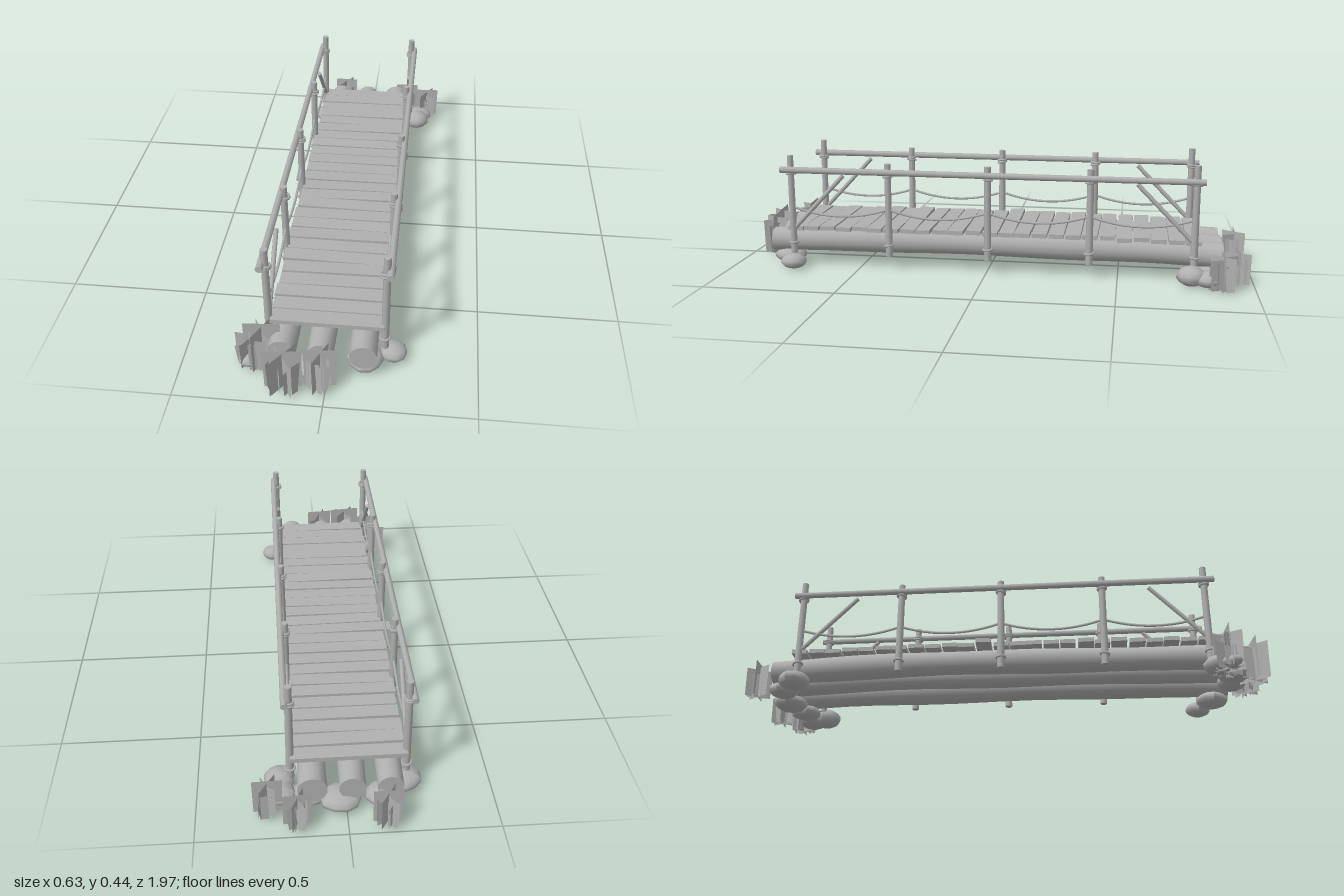
import * as THREE from 'three';

export function createModel() {
  const root = new THREE.Group();
  const grey = new THREE.MeshStandardMaterial({ color: 0xb0b0b0, side: THREE.DoubleSide });
  grey.name = 'plainGrey';

  let seed = 7;
  const rnd = (a, b) => {
    seed = (seed * 16807) % 2147483647;
    return a + (b - a) * (seed / 2147483647);
  };
  const group = (name) => {
    const g = new THREE.Group();
    g.name = name;
    root.add(g);
    return g;
  };
  const add = (parent, name, geo, x = 0, y = 0, z = 0) => {
    const m = new THREE.Mesh(geo, grey);
    m.name = name;
    m.position.set(x, y, z);
    parent.add(m);
    return m;
  };
  // Round pole between two points
  const pole = (parent, name, a, b, r0, r1 = r0, sides = 8) => {
    const d = b.clone().sub(a);
    const m = add(parent, name, new THREE.CylinderGeometry(r1, r0, d.length(), sides));
    m.position.copy(a).addScaledVector(d, 0.5);
    m.quaternion.setFromUnitVectors(new THREE.Vector3(0, 1, 0), d.normalize());
    return m;
  };
  const V = (x, y, z) => new THREE.Vector3(x, y, z);
  const arch = (z) => 1 - (z / 0.85) ** 2;

  // Three long carrying logs, gently arched and uneven
  const logs = group('logs');
  [[-0.15, 0.046], [-0.02, 0.044], [0.117, 0.049]].forEach(([x, r], i) => {
    const geo = new THREE.CylinderGeometry(r, r, 1.75, 14, 16);
    geo.rotateX(Math.PI / 2);
    const p = geo.attributes.position;
    for (let k = 0; k < p.count; k++) {
      const z = p.getZ(k);
      const s = 1 + 0.05 * Math.sin(z * 9 + i * 2);
      p.setXYZ(k, p.getX(k) * s + 0.005 * Math.sin(z * 5 + i), p.getY(k) * s + 0.013 * arch(z), z);
    }
    geo.computeVertexNormals();
    add(logs, 'log', geo, x, 0.095, -0.013);
  });

  // Deck planks, each slightly turned and of its own length
  const deck = group('deck');
  const count = 25;
  for (let i = 0; i < count; i++) {
    const z = -0.778 + (i * 1.534) / (count - 1);
    const left = i === 11 ? -0.24 : -0.207 + rnd(-0.004, 0.004);
    const right = 0.178 + rnd(-0.004, 0.006);
    const geo = new THREE.BoxGeometry(right - left, 0.016, rnd(0.055, 0.06));
    const m = add(deck, 'plank', geo, (left + right) / 2, 0.152 + 0.007 * arch(z) + rnd(-0.002, 0.002), z);
    m.rotation.set(rnd(-0.03, 0.03), rnd(-0.016, 0.016), rnd(-0.008, 0.008));
  }

  // Railings on both sides
  const postZ = [-0.779, -0.393, -0.008, 0.378, 0.762];
  const sides = [
    { name: 'leftRailing', x: 0.183, out: 1 },
    { name: 'rightRailing', x: -0.21, out: -1 },
  ];
  for (const { name, x, out } of sides) {
    const g = group(name);
    postZ.forEach((z, i) => {
      const end = i === 0 || i === 4;
      pole(g, 'post', V(x, 0.058, z), V(x + rnd(-0.003, 0.003), end ? 0.445 : 0.42, z), 0.0138, 0.0125);
      // Rope lashings at the rail and at the logs
      for (const y of [0.372, 0.38, 0.1]) {
        const ring = add(g, 'lashing', new THREE.TorusGeometry(0.0165, 0.0045, 6, 12), x, y, z);
        ring.rotation.set(Math.PI / 2 + rnd(-0.2, 0.2), rnd(-0.15, 0.15), 0);
      }
    });
    // Hand rail
    const rx = x + out * 0.014;
    pole(g, 'handRail', V(rx, 0.386, -0.81), V(rx, 0.39, 0.8), 0.0115, 0.0125);
    // Sagging ropes
    for (let i = 0; i < 4; i++) {
      const a = postZ[i], b = postZ[i + 1];
      const curve = new THREE.QuadraticBezierCurve3(
        V(x, 0.243, a), V(x, 0.176, (a + b) / 2), V(x, 0.243, b));
      add(g, 'rope', new THREE.TubeGeometry(curve, 12, 0.0048, 6));
    }
    // Diagonal braces at both ends
    pole(g, 'brace', V(x, 0.162, 0.752), V(x, 0.37, 0.555), 0.0085);
    pole(g, 'brace', V(x, 0.162, -0.769), V(x, 0.37, -0.565), 0.0085);
  }

  // Flattened rocks under the ends: x, z, half width, height, half depth
  const rocks = group('rocks');
  [
    [0.12, 0.8, 0.062, 0.06, 0.062], [0.212, 0.755, 0.048, 0.058, 0.05],
    [-0.215, 0.79, 0.06, 0.068, 0.06], [-0.14, 0.85, 0.06, 0.055, 0.06],
    [-0.06, 0.85, 0.06, 0.058, 0.055], [-0.27, 0.83, 0.035, 0.045, 0.04],
    [-0.2, -0.79, 0.062, 0.068, 0.06], [-0.12, -0.85, 0.055, 0.058, 0.06],
    [0.02, -0.865, 0.07, 0.062, 0.065], [0.22, -0.77, 0.055, 0.075, 0.055],
    [0.225, -0.83, 0.06, 0.06, 0.055], [0.12, -0.83, 0.055, 0.056, 0.06],
  ].forEach(([x, z, w, h, d]) => {
    const geo = new THREE.SphereGeometry(1, 10, 7);
    const p = geo.attributes.position;
    for (let k = 0; k < p.count; k++) {
      const s = 1 + 0.05 * Math.sin(p.getX(k) * 4 + x * 40) * Math.cos(p.getZ(k) * 3 + z * 9);
      p.setXYZ(k, p.getX(k) * s * w, p.getY(k) * h / 2, p.getZ(k) * s * d);
    }
    geo.computeVertexNormals();
    add(rocks, 'rock', geo, x, h / 2 + 0.003, z).rotation.y = rnd(-0.3, 0.3);
  });

  // Grass clumps made of crossed upright cards
  const card = (w, h, taper) => {
    const geo = new THREE.PlaneGeometry(w, h);
    geo.translate(0, h / 2, 0);
    const p = geo.attributes.position;
    for (let k = 0; k < 4; k++) if (p.getY(k) < h / 2) p.setX(k, p.getX(k) * taper);
    return geo;
  };
  // x, z, width, height
  [
    [-0.225, 0.82, 0.125, 0.172], [-0.26, 0.815, 0.12, 0.115], [-0.14, 0.925, 0.13, 0.158],
    [-0.018, 0.908, 0.11, 0.158], [-0.13, -0.95, 0.1, 0.135],
    [0.165, -0.94, 0.1, 0.125], [0.262, -0.88, 0.1, 0.135],
  ].forEach(([x, z, w, h]) => {
    const g = group('grassClump');
    g.position.set(x, 0.004, z);
    for (let i = 0; i < 3; i++) {
      const m = add(g, 'broadCard', card(w, h * (1 - i * 0.08), 0.95));
      m.rotation.y = (i * Math.PI) / 3 + rnd(-0.15, 0.15);
    }
    for (let i = 0; i < 9; i++) {
      const a = (i * Math.PI * 2) / 9 + rnd(-0.3, 0.3);
      const r = w * rnd(0.2, 0.4);
      const m = add(g, 'blade', card(rnd(0.025, 0.04), h * rnd(0.6, 0.8), 0.65), Math.cos(a) * r, 0, Math.sin(a) * r);
      m.rotation.set(0, rnd(0, Math.PI), rnd(-0.1, 0.1));
    }
  });

  return root;
}
